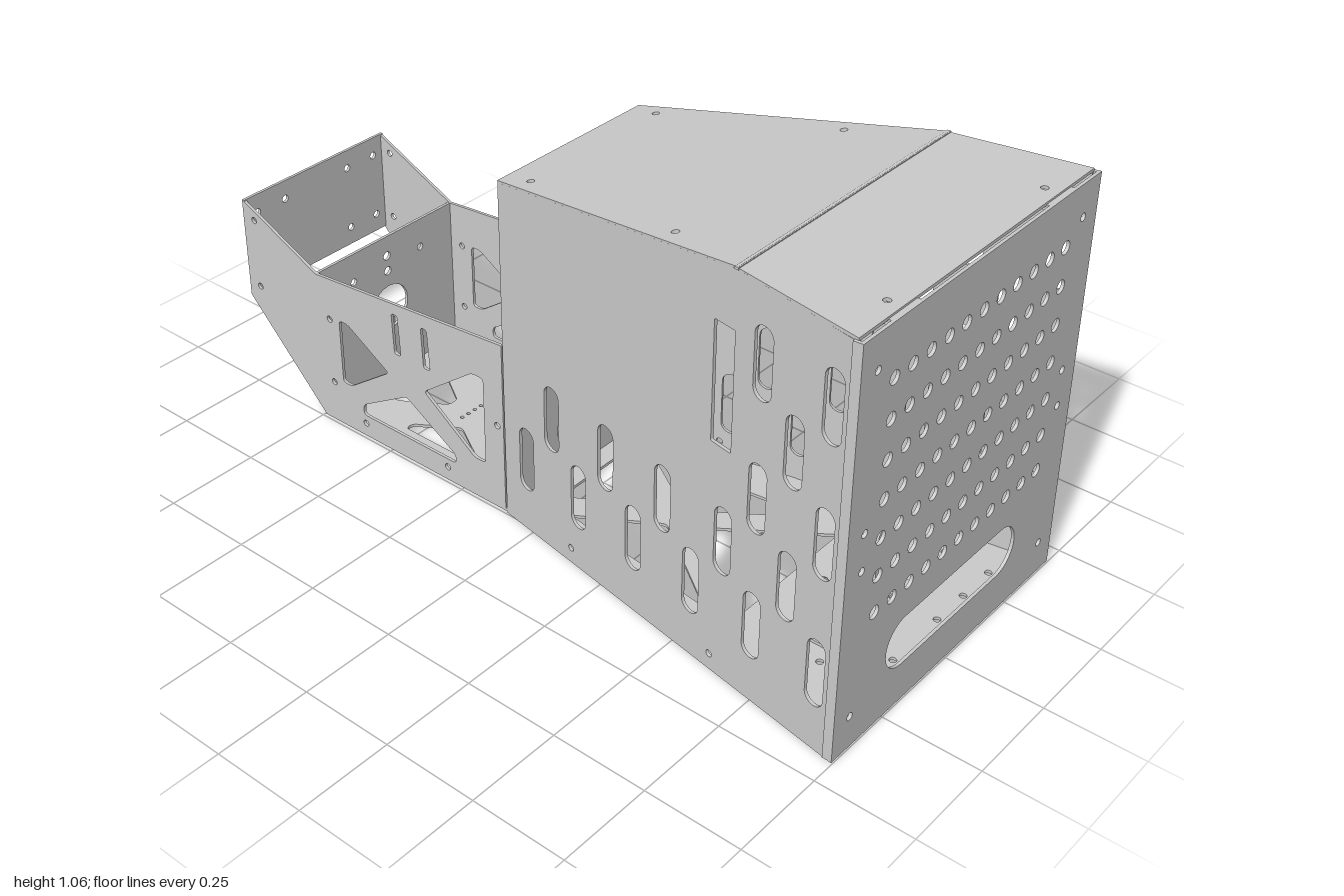
import * as THREE from 'three';

const T = 0.008; // sheet thickness
const V = (x, y, z) => new THREE.Vector3(x, y, z);
const metal = new THREE.MeshStandardMaterial({ color: 0xcccccc });
const halfWidth = z => 0.245 + (z + 0.1) * 0.174; // taper of the main housing

// ---- hole and outline helpers ----
function circle(x, y, r) {
  const p = new THREE.Path();
  p.absarc(x, y, r, 0, Math.PI * 2, true);
  return p;
}

// Slot with round ends, standing (w < h) or lying (w > h)
function slot(x, y, w, h) {
  const p = new THREE.Path(), r = Math.min(w, h) / 2;
  if (h >= w) {
    p.absarc(x, y + h / 2 - r, r, 0, Math.PI, false);
    p.absarc(x, y - h / 2 + r, r, Math.PI, Math.PI * 2, false);
  } else {
    p.absarc(x + w / 2 - r, y, r, -Math.PI / 2, Math.PI / 2, false);
    p.absarc(x - w / 2 + r, y, r, Math.PI / 2, Math.PI * 1.5, false);
  }
  p.closePath();
  return p;
}

// Polygon with softened corners
function softPoly(points, r = 0.012) {
  const p = new THREE.Path(), pts = points.map(a => new THREE.Vector2(...a)), n = pts.length;
  pts.forEach((c, i) => {
    const toward = q => c.clone().add(q.clone().sub(c).setLength(r));
    const a = toward(pts[(i + n - 1) % n]), b = toward(pts[(i + 1) % n]);
    i ? p.lineTo(a.x, a.y) : p.moveTo(a.x, a.y);
    p.quadraticCurveTo(c.x, c.y, b.x, b.y);
  });
  p.closePath();
  return p;
}

const rect = (x0, y0, x1, y1) => [[x0, y0], [x1, y0], [x1, y1], [x0, y1]];
const mirrorX = pts => pts.map(([x, y]) => [-x, y]);

// Sheet lying in the plane origin + a*u + b*v, centred on that plane
function sheet(name, outline, holes, origin, u, v, thickness = T) {
  const shape = new THREE.Shape(outline.map(p => new THREE.Vector2(...p)));
  shape.holes = holes;
  const geo = new THREE.ExtrudeGeometry(shape, { depth: thickness, bevelEnabled: false, curveSegments: 10 });
  geo.translate(0, 0, -thickness / 2);
  const n = u.clone().cross(v).normalize();
  geo.applyMatrix4(new THREE.Matrix4().makeBasis(u, v, n).setPosition(origin));
  const mesh = new THREE.Mesh(geo, metal);
  mesh.name = name;
  return mesh;
}

function box(name, w, h, d, x, y, z) {
  const mesh = new THREE.Mesh(new THREE.BoxGeometry(w, h, d), metal);
  mesh.position.set(x, y, z);
  mesh.name = name;
  return mesh;
}

export function createModel() {
  const model = new THREE.Group();
  const X = V(1, 0, 0), Y = V(0, 1, 0), Z = V(0, 0, 1), back = V(0, 0, -1);

  // ---- front panel: hole grid, screw holes, wide slot ----
  const frontHoles = [slot(0, 0.18, 0.516, 0.132)];
  for (let i = -5; i <= 5; i++)
    for (let j = 0; j < 7; j++) frontHoles.push(circle(i * 0.0641, 0.339 + j * 0.0963, 0.0165));
  for (const s of [-1, 1])
    for (const y of [0.097, 0.483, 0.578, 0.964]) frontHoles.push(circle(s * 0.382, y, 0.01));
  model.add(sheet('frontPanel', rect(-0.44, 0.008, 0.44, 1.05), frontHoles, V(0, 0, 0.996), X, Y));
  for (const s of [-1, 1]) {
    model.add(box('frontPanelReturn', T, 1.04, 0.02, s * 0.436, 0.529, 0.986));
    model.add(box('topTab', 0.1, 0.014, 0.02, s * 0.288, 1.043, 0.986));
  }
  model.add(box('frontBottomLip', 0.58, 0.012, 0.02, 0, 0.016, 0.985));

  // ---- tapering housing sides with staggered ventilation slots ----
  const sideOutline = [[0.985, 0.01], [0.985, 1.046], [0.66, 1.052], [-0.1, 0.918], [-0.1, 0.01]];
  for (const s of [-1, 1]) {
    const lift = s > 0 ? 0 : 0.04;
    const holes = [softPoly(rect(0.604, 0.612, 0.664, 0.91), 0.004)];
    for (let i = 0; i < 11; i++) {
      const z = 0.935 - i * 0.0952;
      const rows = i % 2 ? [0.335] : [0.168];
      if (i === 0 || i === 2) rows.push(0.503, 0.833);
      if (i === 1) rows.push(0.672);
      if (i === 4 && s > 0) rows.push(0.503);
      for (const y of rows) holes.push(slot(z, y + lift, 0.052, 0.176));
    }
    for (const z of [0.62, 0.145]) holes.push(circle(z, 0.045, 0.009));
    model.add(sheet('housingSide', sideOutline, holes, V(s * (halfWidth(0) - T / 2), 0, 0), V(s * 0.174, 0, 1), Y));
  }

  // ---- roof: level front part and sloping rear part ----
  const trapezoid = (z0, z1) => [[-halfWidth(z0), -z0], [halfWidth(z0), -z0], [halfWidth(z1), -z1], [-halfWidth(z1), -z1]];
  const screws = (x, z) => [-1, 1].map(s => circle(s * x, -z, 0.009));
  model.add(sheet('roofFront', trapezoid(0.985, 0.66), screws(0.29, 0.95), V(0, 1.051, 0), X, back));
  model.add(sheet('roofSlope', trapezoid(0.665, -0.1),
    [...screws(0.297, 0.445), ...screws(0.217, -0.025)], V(0, 0.937, 0), X, V(0, -0.175, -1)));
  model.add(box('roofSeam', 0.76, 0.006, 0.01, 0, 1.054, 0.662));

  // ---- housing back wall with two cable holes ----
  model.add(sheet('housingBack', rect(-0.245, 0.01, 0.245, 0.918),
    [circle(0, 0.15, 0.067), circle(0, 0.35, 0.067), ...[-1, 1].flatMap(s => [0.55, 0.86].map(y => circle(s * 0.215, y, 0.009)))],
    V(0, 0, -0.096), X, Y));

  // ---- housing floor: cross-braced cutouts and screw rows ----
  const sideCut = [[0.22, -0.49], [0.035, -0.23], [0.16, -0.03]];
  const floorHoles = [
    softPoly([[-0.2, -0.57], [0.2, -0.57], [0, -0.29]]),
    softPoly([[-0.12, 0.04], [0.12, 0.04], [0, -0.16]]),
    softPoly(sideCut), softPoly(mirrorX(sideCut)),
  ];
  for (const z of [0.68, 0.8, 0.92])
    for (const x of [0.09, 0.2, 0.31]) floorHoles.push(...screws(x, z));
  model.add(sheet('housingFloor', trapezoid(0.99, -0.1), floorHoles, V(0, 0.006, 0), X, back));

  // ---- rear tray floor with hourglass cutouts ----
  const trayCut = [[0.163, 0.3], [0.163, 0.53], [0.14, 0.53], [0.07, 0.42], [0.14, 0.3]];
  model.add(sheet('trayFloor', rect(-0.245, 0.1, 0.245, 0.745), [
    softPoly([[-0.095, 0.66], [0.095, 0.66], [0.085, 0.63], [0.015, 0.52], [-0.015, 0.52], [-0.085, 0.63]]),
    softPoly([[-0.095, 0.18], [0.095, 0.18], [0.085, 0.21], [0.015, 0.3], [-0.015, 0.3], [-0.085, 0.21]]),
    softPoly(trayCut), softPoly(mirrorX(trayCut)),
    ...[-0.035, -0.012, 0.012, 0.035].map(x => circle(x, 0.453, 0.005)),
  ], V(0, 0.01, 0), X, back));

  // ---- rear tray sides ----
  const trayOutline = [[-0.105, 0.01], [-0.105, 0.485], [-0.74, 0.432], [-1, 0.552], [-1, 0.27], [-0.745, 0.01]];
  const screwSpots = [[-0.125, 0.25], [-0.3, 0.045], [-0.59, 0.045], [-0.7, 0.125], [-0.7, 0.315], [-0.96, 0.31], [-0.96, 0.505]];
  for (const s of [-1, 1]) {
    const holes = [
      softPoly([[-0.168, 0.365], [-0.205, 0.365], [-0.37, 0.24], [-0.205, 0.12], [-0.168, 0.12]]),
      softPoly([[-0.665, 0.325], [-0.635, 0.325], [-0.495, 0.24], [-0.635, 0.14], [-0.665, 0.14]]),
      softPoly([[-0.27, 0.07], [-0.595, 0.07], [-0.595, 0.1], [-0.435, 0.195], [-0.27, 0.095]]),
      ...screwSpots.map(([z, y]) => circle(z, y, 0.009)),
    ];
    for (const z of [-0.36, -0.46])
      holes.push(softPoly([[z - 0.012, 0.425], [z + 0.008, 0.425], [z + 0.014, 0.31], [z - 0.008, 0.31]], 0.008));
    model.add(sheet('traySide', trayOutline, holes, V(s * 0.241, 0, 0), Z, Y));
  }

  // ---- tray end plate and raised rear panel ----
  model.add(sheet('trayEndPlate', rect(-0.24, 0.01, 0.24, 0.432),
    [circle(0, 0.22, 0.065), circle(0, 0.33, 0.012), circle(0, 0.375, 0.012),
      ...[-1, 1].map(s => circle(s * 0.12, 0.35, 0.01))], V(0, 0, -0.743), X, Y));
  const rearHoles = [];
  for (const x of [-0.205, -0.11, 0.11, 0.205])
    for (const y of [0.32, 0.5]) rearHoles.push(circle(x, y, 0.01));
  model.add(sheet('rearPanel', rect(-0.245, 0.27, 0.245, 0.552), rearHoles, V(0, 0, -0.996), X, Y));

  // ---- rear socket bracket: open frame with flanges ----
  const bracket = new THREE.Group();
  bracket.name = 'rearBracket';
  bracket.add(sheet('bracketBack', rect(-0.11, 0.01, 0.11, 0.105), [circle(0, 0.058, 0.026)], V(0, 0, -0.838), X, Y));
  for (const s of [-1, 1]) {
    bracket.add(box('bracketSide', T, 0.095, 0.092, s * 0.106, 0.0575, -0.792));
    bracket.add(box('bracketFlange', 0.06, 0.095, T, s * 0.14, 0.0575, -0.75));
  }
  model.add(bracket);

  // ---- inner mounting ears on the housing floor ----
  for (const s of [-1, 1]) {
    const ear = new THREE.Group();
    ear.name = 'mountingEar';
    ear.add(box('earFoot', 0.06, T, 0.09, s * 0.128, 0.014, 0.78));
    const outline = rect(-0.03, 0.01, 0.03, 0.14);
    for (let i = 1; i < 8; i++) outline.splice(2 + i, 0, [0.03 * Math.cos(i * Math.PI / 8), 0.14 + 0.03 * Math.sin(i * Math.PI / 8)]);
    ear.add(sheet('earPlate', outline, [circle(0, 0.135, 0.012)], V(s * 0.128, 0, 0.74), X, Y));
    model.add(ear);
  }
  return model;
}
